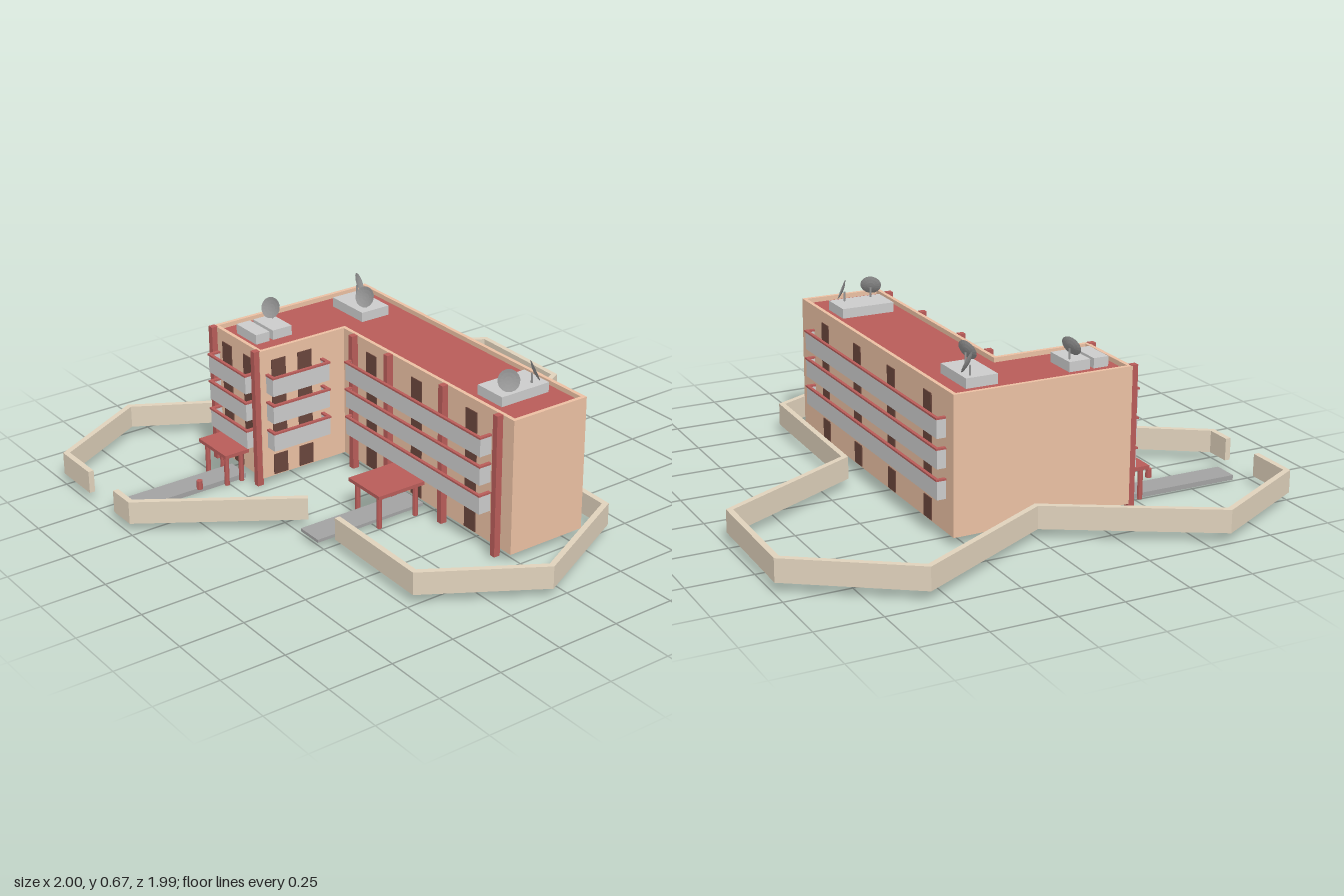
import * as THREE from 'three';

const mat = (color, side = THREE.FrontSide) => new THREE.MeshStandardMaterial({ color, side, flatShading: true });
const TAN = mat(0xebc0a3), RED = mat(0xb85c59), GREY = mat(0xc6c6c6), PATH = mat(0xa2a2a2);
const DARK = mat(0x6a463c), FENCE = mat(0xe0d2bc), DISH = mat(0x949494, THREE.DoubleSide);

function add(parent, name, geometry, material, x = 0, y = 0, z = 0) {
  const m = new THREE.Mesh(geometry, material);
  m.name = name;
  m.position.set(x, y, z);
  parent.add(m);
  return m;
}

// Box given by its limits on each axis
function box(parent, name, material, x0, x1, y0, y1, z0, z1) {
  return add(parent, name, new THREE.BoxGeometry(x1 - x0, y1 - y0, z1 - z0), material,
    (x0 + x1) / 2, (y0 + y1) / 2, (z0 + z1) / 2);
}

// Floor-plan outline [x, z] raised from y0 to y1; a hole winds opposite to the outline
function raise(parent, name, material, outline, y0, y1, hole) {
  const pts = (p) => p.map(([x, z]) => new THREE.Vector2(x, -z));
  const shape = new THREE.Shape(pts(outline));
  if (hole) shape.holes.push(new THREE.Path(pts(hole).reverse()));
  const g = new THREE.ExtrudeGeometry(shape, { depth: y1 - y0, bevelEnabled: false });
  g.rotateX(-Math.PI / 2);
  return add(parent, name, g, material, 0, y0, 0);
}

// L-shaped plan, inset by t
const plan = (t) => [[-0.6 + t, -0.3 + t], [0.73 - t, -0.3 + t], [0.73 - t, 0.03 - t],
  [-0.28 - t, 0.03 - t], [-0.28 - t, 0.41 - t], [-0.6 + t, 0.41 - t]];

// Mitred strip of a given thickness along an open path
function strip(path, t) {
  const v = path.map(([x, z]) => new THREE.Vector2(x, z));
  const normal = (a, b) => new THREE.Vector2(a.y - b.y, b.x - a.x).normalize();
  const left = [], right = [];
  v.forEach((p, i) => {
    const n0 = normal(v[Math.max(i - 1, 0)], v[Math.max(i, 1)]);
    const n1 = i < v.length - 1 ? normal(p, v[i + 1]) : n0;
    const n = n0.clone().add(n1).normalize();
    n.multiplyScalar(t / 2 / n.dot(n1));
    left.push([p.x + n.x, p.y + n.y]);
    right.unshift([p.x - n.x, p.y - n.y]);
  });
  return left.concat(right);
}

// One facade: local x runs along the wall, local +z points outwards
function facade(parent, name, x, z, turn, balcony, doors, groundDoors) {
  const f = new THREE.Group();
  f.name = name;
  f.position.set(x, 0, z);
  f.rotation.y = turn;
  parent.add(f);
  const [a, b, d] = balcony, t = 0.008;
  for (const [y, doorTop] of [[0.165, 0.274], [0.28, 0.388], [0.392, 0.52]]) {
    box(f, 'balconyFloor', GREY, a, b, y, y + 0.012, 0, d);
    box(f, 'balconyFront', GREY, a, b, y, y + 0.07, d - t, d);
    box(f, 'balconyRail', RED, a - 0.003, b + 0.003, y + 0.07, y + 0.077, d - t, d + 0.004);
    for (const e of [a, b - t]) {
      box(f, 'balconySide', GREY, e, e + t, y, y + 0.07, 0, d);
      box(f, 'balconyRail', RED, e - 0.003, e + t + 0.003, y + 0.07, y + 0.077, 0, d);
    }
    for (const c of doors) box(f, 'balconyDoor', DARK, c - 0.031, c + 0.031, y, doorTop, -0.018, 0.004);
  }
  for (const c of groundDoors) box(f, 'groundDoor', DARK, c - 0.031, c + 0.031, 0.045, 0.128, -0.018, 0.004);
}

// Flat porch roof on four posts
function porch(parent, x0, x1, z0, z1, top, foot) {
  const g = new THREE.Group();
  g.name = 'porch';
  parent.add(g);
  box(g, 'porchRoof', RED, x0, x1, top - 0.014, top, z0, z1);
  for (const x of [x0 + 0.028, x1 - 0.028])
    for (const z of [z0 + 0.02, z1 - 0.02])
      add(g, 'porchPost', new THREE.CylinderGeometry(0.01, 0.01, top - foot - 0.014, 8), RED,
        x, (top + foot - 0.014) / 2, z);
}

// Shallow dish on a short mast, its hollow turned towards (nx, nz) and tilted up
function dish(parent, x, z, nx, nz) {
  const g = new THREE.Group();
  g.name = 'satelliteDish';
  g.position.set(x, 0.63, z);
  parent.add(g);
  const profile = [0, 0.015, 0.029, 0.041].map((r) => new THREE.Vector2(r, r * r * 5 - 0.004));
  const bowl = add(g, 'dishBowl', new THREE.LatheGeometry(profile, 16), DISH);
  const aim = new THREE.Vector3(nx, 0, nz).normalize().setY(0.42).normalize();
  bowl.quaternion.setFromUnitVectors(new THREE.Vector3(0, 1, 0), aim);
  add(g, 'dishMast', new THREE.CylinderGeometry(0.004, 0.004, 0.045, 8), DISH,
    -aim.x * 0.008, -0.03, -aim.z * 0.008);
}

export function createModel() {
  const model = new THREE.Group();
  model.name = 'apartmentBlock';

  // Walls, open underneath, with a sunken roof
  raise(model, 'walls', TAN, plan(0), 0.04, 0.565, plan(0.015));
  raise(model, 'roof', RED, plan(0.014), 0.53, 0.547);

  // Facades
  facade(model, 'mainFront', 0, 0.03, 0, [-0.2, 0.61, 0.05], [-0.1, 0.18, 0.5], [-0.1, 0.18, 0.5]);
  facade(model, 'mainBack', 0, -0.3, Math.PI, [-0.62, 0.54, 0.035], [-0.5, -0.2, 0.1, 0.4], [-0.5, -0.2, 0.1, 0.4]);
  facade(model, 'wingFront', 0, 0.41, 0, [-0.57, -0.315, 0.045], [-0.505, -0.36], [-0.445]);
  facade(model, 'wingSide', -0.28, 0, Math.PI / 2, [-0.385, -0.13, 0.046], [-0.33, -0.213], [-0.33, -0.213]);

  // Full-height pillars
  for (const [x, z] of [[-0.587, 0.42], [-0.295, 0.42], [-0.2, 0.044], [0.022, 0.044], [0.352, 0.044], [0.66, 0.044]])
    box(model, 'pillar', RED, x - 0.012, x + 0.012, 0.012, 0.567, z - 0.013, z + 0.013);

  // Entrances
  porch(model, 0.09, 0.28, 0.07, 0.275, 0.157, 0.012);
  porch(model, -0.535, -0.345, 0.43, 0.535, 0.146, 0.008);
  box(model, 'mainPath', PATH, 0.127, 0.235, 0.028, 0.04, 0.04, 0.515);
  box(model, 'wingPath', PATH, -0.49, -0.39, 0.003, 0.022, 0.42, 0.94);
  add(model, 'bollard', new THREE.CylinderGeometry(0.012, 0.012, 0.035, 8), RED, -0.375, 0.045, 0.635);

  // Roof plinths and dishes
  for (const [x0, x1, z0, z1] of [[-0.515, -0.32, -0.21, -0.085], [0.455, 0.59, -0.245, -0.03],
    [-0.515, -0.38, 0.2, 0.285], [-0.515, -0.38, 0.3, 0.36]])
    box(model, 'roofPlinth', GREY, x0, x1, 0.54, 0.585, z0, z1);
  dish(model, -0.485, -0.187, 0.7, -0.7);
  dish(model, -0.355, -0.125, 0.37, 0.93);
  dish(model, 0.56, -0.2, 0.45, -0.9);
  dish(model, 0.57, -0.075, 0.88, 0.48);
  dish(model, -0.48, 0.225, 0.4, 0.92);

  // Boundary wall in two runs, leaving two gateways
  const runs = [
    [[-0.57, 0.985], [-0.762, 0.985], [-0.985, 0.585], [-0.648, 0], [-0.952, -0.565], [-0.665, -0.985],
      [-0.205, -0.975], [0.095, -0.405], [0.762, -0.385], [0.985, 0.06], [0.738, 0.462], [0.27, 0.453]],
    [[0.08, 0.45], [-0.277, 0.985], [-0.385, 0.985]],
  ];
  for (const run of runs) raise(model, 'boundaryWall', FENCE, strip(run, 0.022), 0.04, 0.128);

  return model;
}
